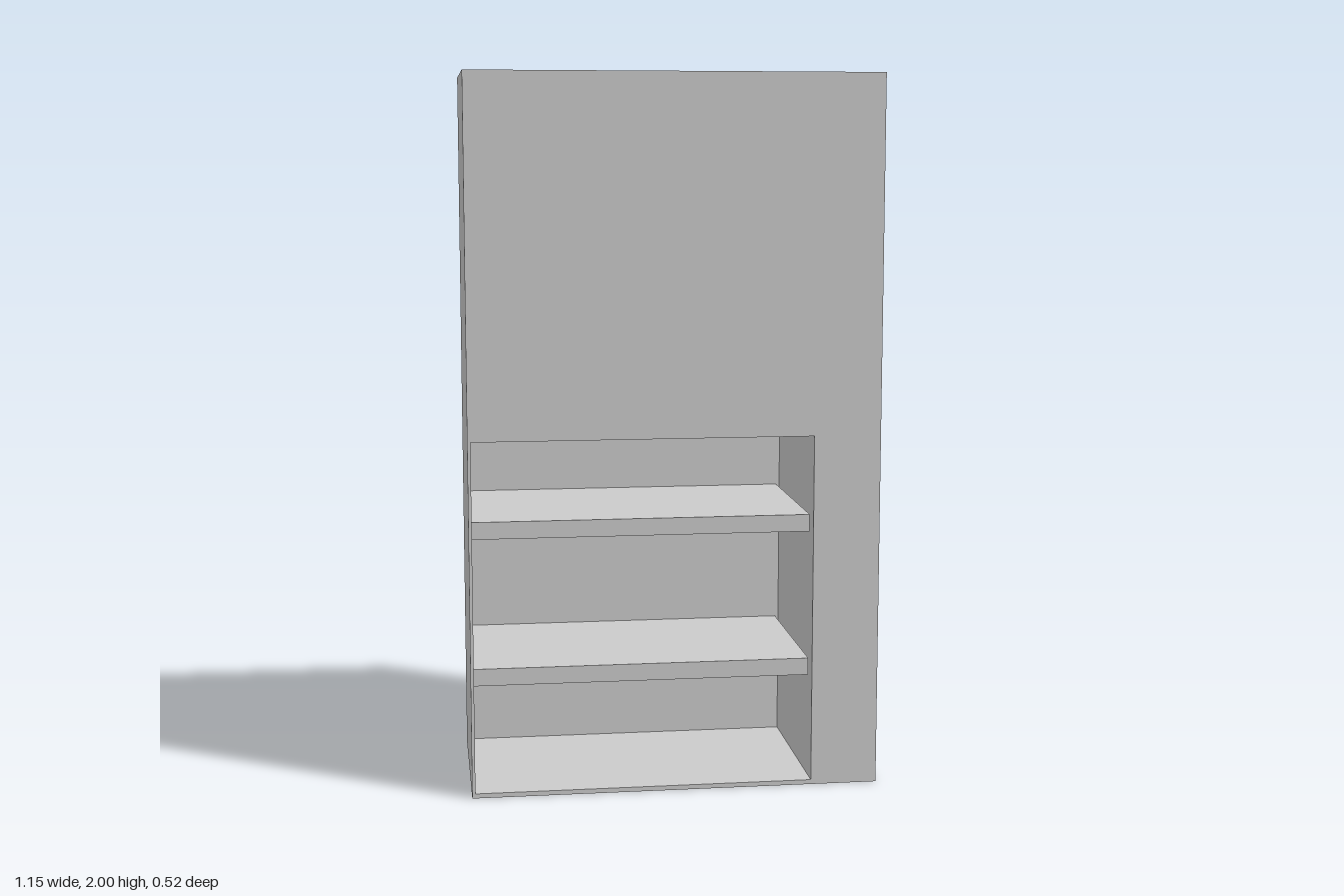
import * as THREE from 'three';

const W = 1.15, H = 2, D = 0.525, BACK = 0.013;
const OPENING = { x0: -0.566, x1: 0.386, y0: 0.013, y1: 1.003 };

function rectangle(target, x0, y0, x1, y1) {
  target.moveTo(x0, y0);
  target.lineTo(x1, y0);
  target.lineTo(x1, y1);
  target.lineTo(x0, y1);
  target.closePath();
  return target;
}

export function createModel() {
  const group = new THREE.Group();
  group.name = 'cabinet';
  const material = new THREE.MeshStandardMaterial({ color: 0xcccccc });

  const add = (name, geometry, x, y, z) => {
    const mesh = new THREE.Mesh(geometry, material);
    mesh.name = name;
    mesh.position.set(x, y, z);
    group.add(mesh);
  };

  // Cabinet body with the shelf niche cut through its front
  const outline = rectangle(new THREE.Shape(), -W / 2, 0, W / 2, H);
  const { x0, x1, y0, y1 } = OPENING;
  outline.holes.push(rectangle(new THREE.Path(), x0, y0, x1, y1));
  const body = new THREE.ExtrudeGeometry(outline, { depth: D - BACK, bevelEnabled: false });
  add('body', body, 0, 0, -D / 2 + BACK);

  // Thin panel closing the back of the niche
  add('backPanel', new THREE.BoxGeometry(W, H, BACK), 0, H / 2, -D / 2 + BACK / 2);

  // Two shelves, with a narrow gap at their left end
  const shelfEnd = 0.376, recess = 0.006;
  const shelfWidth = shelfEnd - x0, shelfDepth = D - BACK - recess;
  [['lowerShelf', 0.344], ['upperShelf', 0.757]].forEach(([name, y]) => {
    add(name, new THREE.BoxGeometry(shelfWidth, 0.048, shelfDepth),
      (x0 + shelfEnd) / 2, y, (BACK - recess) / 2);
  });

  return group;
}
